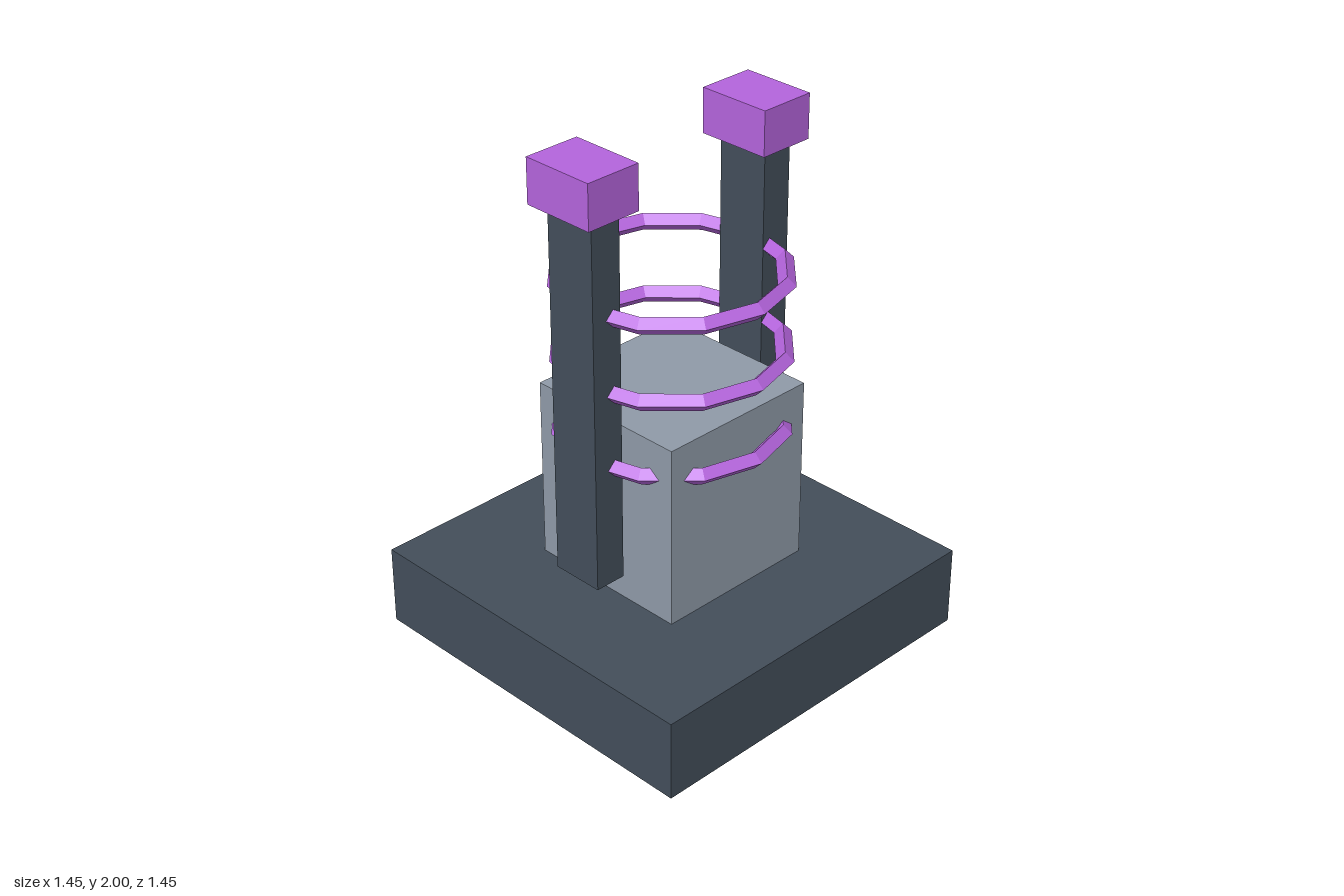
import * as THREE from 'three';

export function createModel() {
  const model = new THREE.Group();
  const mat = (color) => new THREE.MeshStandardMaterial({ color, flatShading: true });
  const dark = mat(0x434e5a);
  const stone = mat(0x8f9aa8);
  const purple = mat(0xb464dc);

  function add(name, geometry, material, x, y, z) {
    const mesh = new THREE.Mesh(geometry, material);
    mesh.name = name;
    mesh.position.set(x, y, z);
    model.add(mesh);
    return mesh;
  }

  // Box given by its bottom and top heights
  function block(name, material, x, bottom, top, width, depth) {
    const geometry = new THREE.BoxGeometry(width, top - bottom, depth);
    return add(name, geometry, material, x, (bottom + top) / 2, 0);
  }

  // Base slab and central block
  block('base', dark, 0, 0, 0.31, 1.45, 1.45);
  block('core', stone, 0, 0.31, 1.015, 0.655, 0.655);

  // Floating pillars with caps on both sides
  for (const [side, s] of [['left', 1], ['right', -1]]) {
    block(side + 'Pillar', dark, s * 0.405, 0.412, 1.83, 0.124, 0.207);
    block(side + 'Cap', purple, s * 0.405, 1.83, 2, 0.222, 0.29);
  }

  // Three faceted coil rings threaded through the pillars
  const ring = new THREE.TorusGeometry(0.403, 0.033, 4, 12).rotateX(Math.PI / 2);
  for (let i = 0; i < 3; i++) {
    add('coilRing' + (i + 1), ring, purple, 0, 0.873 + i * 0.29, 0);
  }

  return model;
}
